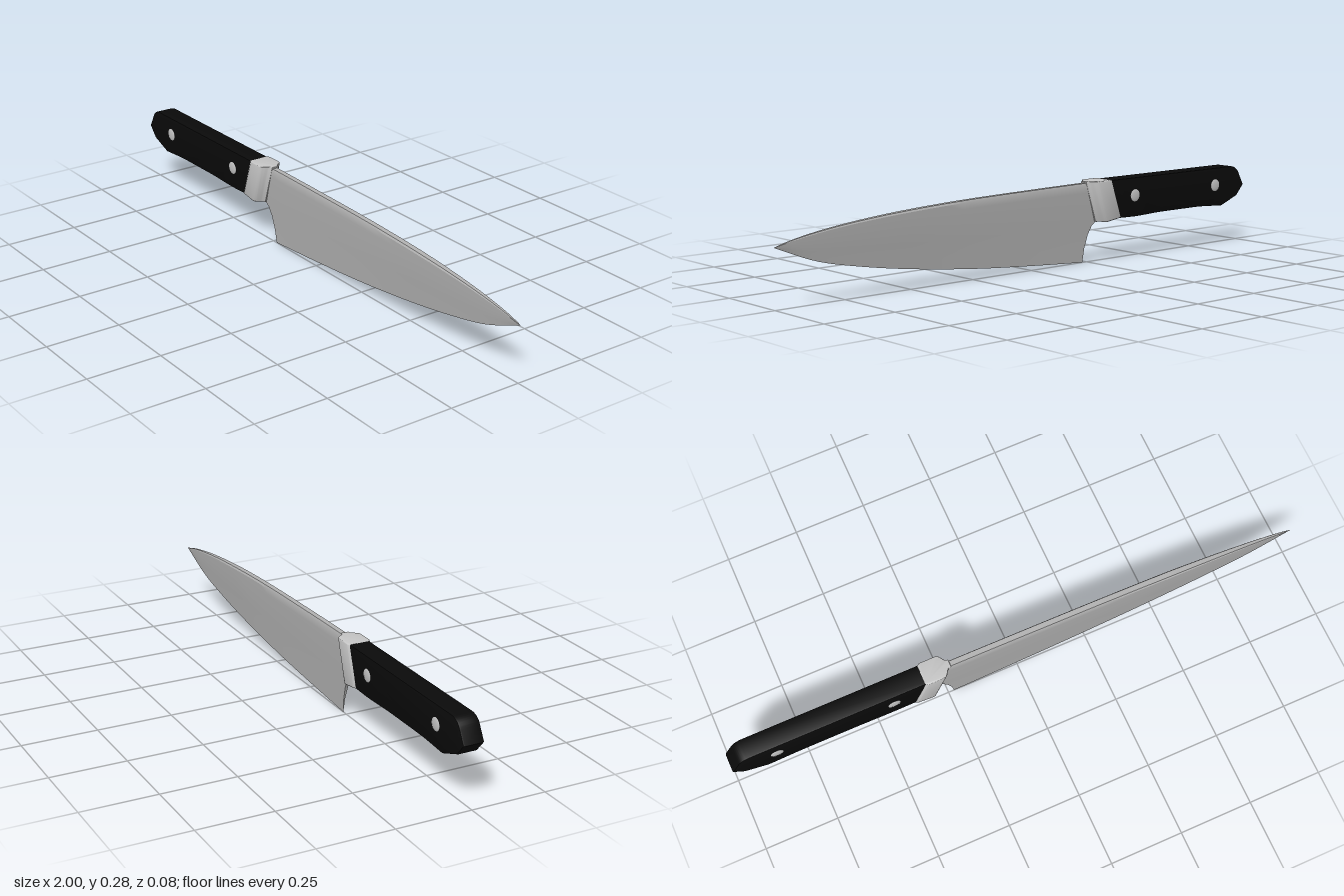
import * as THREE from 'three';
import { toCreasedNormals } from 'three/addons/utils/BufferGeometryUtils.js';

const material = (name, color, opts = {}) => {
  const m = new THREE.MeshStandardMaterial({ color, ...opts });
  m.name = name;
  return m;
};

function part(name, geometry, mat) {
  const mesh = new THREE.Mesh(geometry, mat);
  mesh.name = name;
  return mesh;
}

// Blade lofted from wedge-shaped sections running from heel to tip
function bladeGeometry() {
  const spine = new THREE.CatmullRomCurve3([
    [-0.25, 0.272], [0, 0.268], [0.33, 0.26], [0.6, 0.245], [0.8, 0.225], [0.93, 0.204], [1, 0.187],
  ].map(([x, y]) => new THREE.Vector3(x, y, 0)));
  const edge = new THREE.CatmullRomCurve3([
    [-0.23, 0.001], [0, 0.016], [0.24, 0.035], [0.5, 0.065], [0.7, 0.097], [0.85, 0.13], [1, 0.187],
  ].map(([x, y]) => new THREE.Vector3(x, y, 0)));
  // Rows from cutting edge to spine: height fraction, half thickness, heel x
  const rows = [
    [0, 0, -0.23], [0.18, 0.0025, -0.237], [0.35, 0.005, -0.251], [0.46, 0.0068, -0.268],
    [0.53, 0.008, -0.295], [0.72, 0.0105, -0.285], [0.88, 0.012, -0.275], [0.97, 0.0125, -0.27], [1, 0.009, -0.27],
  ];
  const n = rows.length, ring = 2 * n, stations = 28;
  const positions = [], index = [];
  for (let i = 0; i <= stations; i++) {
    const top = spine.getPoint(i / stations), bottom = edge.getPoint(i / stations);
    const taper = Math.min(1, Math.sqrt(Math.max(0, (1 - top.x) / 0.45)));
    for (let k = 0; k < ring; k++) {
      const front = k < n;
      const [v, half, heelX] = rows[front ? k : ring - 1 - k];
      const x = i === 0 ? heelX : THREE.MathUtils.lerp(bottom.x, top.x, v);
      const y = THREE.MathUtils.lerp(bottom.y, top.y, v);
      positions.push(x, y, (front ? 1 : -1) * half * taper);
    }
  }
  for (let i = 0; i < stations; i++) {
    for (let k = 0; k < ring; k++) {
      const a = i * ring + k, b = i * ring + (k + 1) % ring;
      index.push(a, a + ring, b, b, a + ring, b + ring);
    }
  }
  // Heel face
  for (let k = 0; k < n - 1; k++) {
    const f0 = k, f1 = k + 1, b0 = ring - 1 - k, b1 = ring - 2 - k;
    index.push(f0, f1, b0, f1, b1, b0);
  }
  const g = new THREE.BufferGeometry();
  g.setAttribute('position', new THREE.Float32BufferAttribute(positions, 3));
  g.setIndex(index);
  return toCreasedNormals(g, 0.5);
}

// Bolster: plan outline extruded upward, then slanted
function bolsterGeometry() {
  const b = 0.004;
  const s = new THREE.Shape();
  s.moveTo(-0.33, -0.031);
  s.lineTo(-0.322, -0.036);
  s.lineTo(-0.27, -0.036);
  s.bezierCurveTo(-0.255, -0.036, -0.256, -0.012, -0.238, -0.01);
  s.lineTo(-0.238, 0.01);
  s.bezierCurveTo(-0.256, 0.012, -0.255, 0.036, -0.27, 0.036);
  s.lineTo(-0.322, 0.036);
  s.lineTo(-0.33, 0.031);
  const g = new THREE.ExtrudeGeometry(s, {
    depth: 0.134, bevelEnabled: true, bevelThickness: b, bevelSize: b, bevelSegments: 3, curveSegments: 8,
  });
  g.rotateX(-Math.PI / 2);
  g.translate(0, 0.14, 0);
  const p = g.attributes.position;
  for (let i = 0; i < p.count; i++) {
    const x = p.getX(i), y = p.getY(i);
    // Lower rear corner lifts a little to meet the grip
    const lift = y < 0.15 && x < -0.3 ? 0.008 : 0;
    p.setXYZ(i, x + (y - 0.278) * 0.32, y + lift, p.getZ(i));
  }
  return toCreasedNormals(g, 0.6);
}

// Handle: side outline extruded across its width
function handleGeometry() {
  const b = 0.005, depth = 0.07;
  const s = new THREE.Shape();
  s.moveTo(-0.993, 0.207);
  s.lineTo(-0.962, 0.172);
  s.lineTo(-0.885, 0.143);
  s.bezierCurveTo(-0.83, 0.146, -0.8, 0.15, -0.74, 0.15);
  s.lineTo(-0.6, 0.15);
  s.bezierCurveTo(-0.53, 0.15, -0.5, 0.146, -0.44, 0.146);
  s.lineTo(-0.36, 0.148);
  s.lineTo(-0.32, 0.272);
  s.lineTo(-0.93, 0.272);
  s.quadraticCurveTo(-0.962, 0.27, -0.972, 0.245);
  const g = new THREE.ExtrudeGeometry(s, {
    depth: depth - 2 * b, bevelEnabled: true, bevelThickness: b, bevelSize: b, bevelSegments: 2, curveSegments: 8,
  });
  g.translate(0, 0, b - depth / 2);
  return toCreasedNormals(g, 0.5);
}

export function createModel() {
  const steel = material('blade steel', 0xb2b2b2, { side: THREE.DoubleSide });
  const polished = material('polished steel', 0xc4c4c4);
  const black = material('black grip', 0x0a0a0a);

  const knife = new THREE.Group();
  knife.name = 'kitchenKnife';
  knife.add(
    part('blade', bladeGeometry(), steel),
    part('bolster', bolsterGeometry(), polished),
    part('handle', handleGeometry(), black),
  );

  // Rivets: domed heads on both faces
  for (const x of [-0.848, -0.445]) {
    for (const side of [1, -1]) {
      const g = new THREE.SphereGeometry(0.022, 20, 6, 0, Math.PI * 2, 0, Math.PI / 2);
      g.scale(1, 0.2, 1);
      g.rotateX(side * Math.PI / 2);
      const rivet = part('rivet', g, polished);
      rivet.position.set(x, 0.215, side * 0.0345);
      knife.add(rivet);
    }
  }
  return knife;
}
